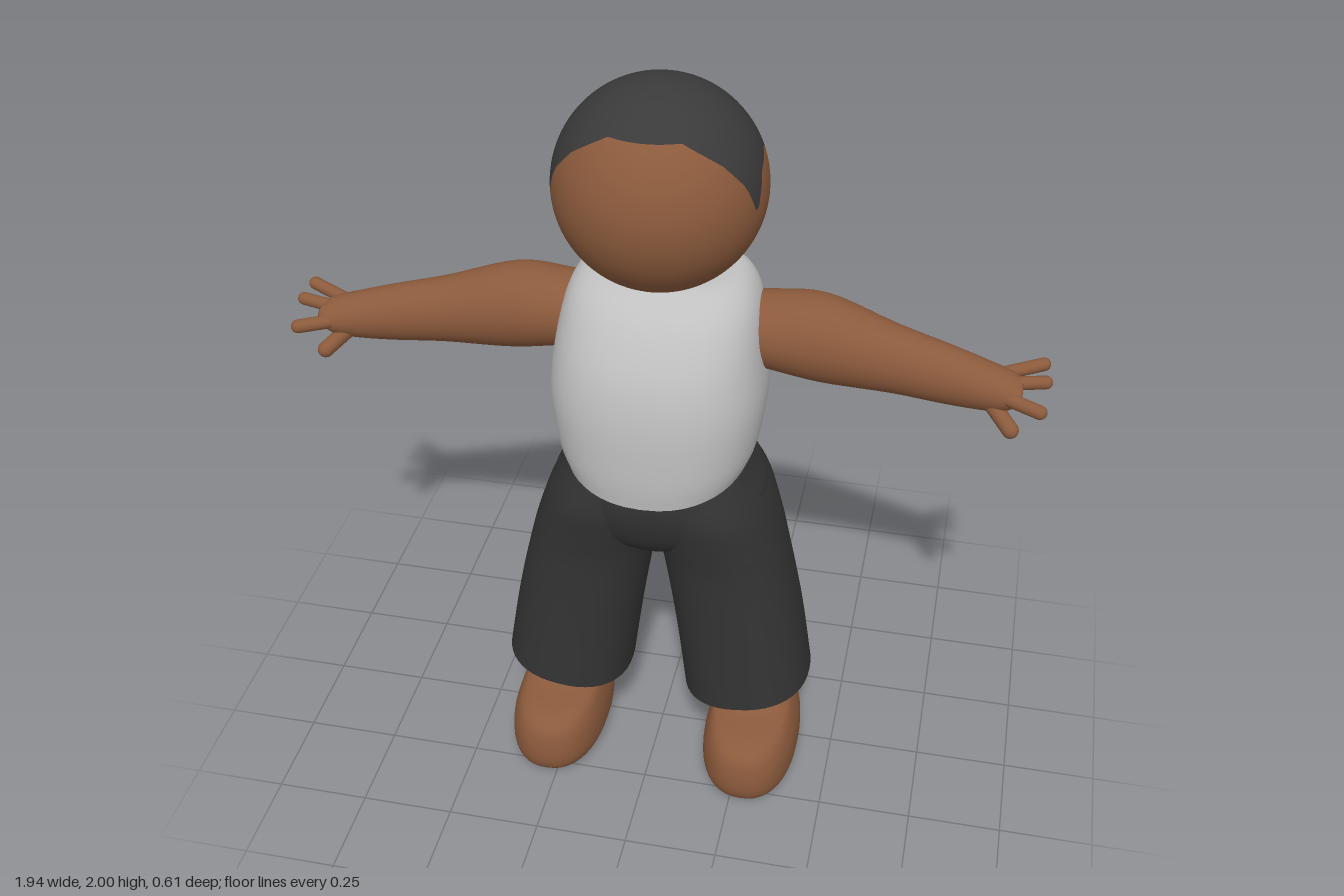
import * as THREE from 'three';

const mat = (name, color, side = THREE.FrontSide) => {
  const m = new THREE.MeshStandardMaterial({ color, side });
  m.name = name;
  return m;
};

// Catmull-Rom smoothing of equal-length rows of section numbers
function refine(rows, steps = 5) {
  const out = [];
  const at = i => rows[Math.max(0, Math.min(rows.length - 1, i))];
  for (let i = 0; i < rows.length - 1; i++) {
    for (let k = 0; k < steps; k++) {
      const t = k / steps;
      out.push(at(i).map((b, c) => {
        const a = at(i - 1)[c], d = at(i + 1)[c], e = at(i + 2)[c];
        return 0.5 * (2 * b + (d - a) * t + (2 * a - 5 * b + 4 * d - e) * t * t + (3 * b - a - 3 * d + e) * t ** 3);
      }));
    }
  }
  out.push(rows[rows.length - 1]);
  return out;
}

// Skin a list of closed rings of [x, y, z] points, with optional end caps
function loft(rings, capStart, capEnd) {
  const n = rings[0].length, pos = rings.flat(2), index = [];
  for (let i = 0; i < rings.length - 1; i++) {
    for (let j = 0; j < n; j++) {
      const a = i * n + j, b = i * n + (j + 1) % n;
      index.push(a, a + n, b, b, a + n, b + n);
    }
  }
  const cap = (r, flip) => {
    const c = pos.length / 3;
    for (let k = 0; k < 3; k++) pos.push(rings[r].reduce((s, p) => s + p[k], 0) / n);
    for (let j = 0; j < n; j++) {
      const a = r * n + j, b = r * n + (j + 1) % n;
      index.push(c, flip ? b : a, flip ? a : b);
    }
  };
  if (capStart) cap(0, false);
  if (capEnd) cap(rings.length - 1, true);
  const g = new THREE.BufferGeometry();
  g.setAttribute('position', new THREE.Float32BufferAttribute(pos, 3));
  g.setIndex(index);
  g.computeVertexNormals();
  return g;
}

// Superellipse outline as [u, v] in -1..1
function outline(power, n = 48) {
  const f = v => Math.sign(v) * Math.abs(v) ** (2 / power);
  return Array.from({ length: n }, (_, j) => {
    const a = (j / n) * Math.PI * 2;
    return [f(Math.cos(a)), f(Math.sin(a))];
  });
}

// Horizontal sections: [y, xMin, xMax, zBack, zFront, tilt, arch]
function stack(rows, power, capStart, capEnd) {
  const full = rows.map(([y, x0, x1, z0, z1, tilt = 0, arch = 0]) => [y, x0, x1, z0, z1, tilt, arch]);
  const rings = refine(full).map(([y, x0, x1, z0, z1, tilt, arch]) =>
    outline(power).map(([u, v]) => [
      (x0 + x1) / 2 + u * (x1 - x0) / 2,
      y + tilt * u + arch * u * u,
      (z0 + z1) / 2 + v * (z1 - z0) / 2,
    ]));
  return loft(rings, capStart, capEnd);
}

// Reflect a geometry across x = 0, keeping faces outward
function mirrored(g) {
  const m = g.clone().scale(-1, 1, 1), ix = m.index.array;
  for (let i = 0; i < ix.length; i += 3) [ix[i], ix[i + 1]] = [ix[i + 1], ix[i]];
  return m;
}

export function createModel() {
  const model = new THREE.Group();
  const skin = mat('brown skin', 0x8b5a3c);
  const hairMat = mat('dark hair', 0x3a3a3a);
  const shirtMat = mat('light grey shirt', 0xc0c0c0, THREE.DoubleSide);
  const trouserMat = mat('charcoal trousers', 0x333333, THREE.DoubleSide);

  const add = (name, geometry, material) => {
    const mesh = new THREE.Mesh(geometry, material);
    mesh.name = name;
    model.add(mesh);
  };
  const addPair = (name, geometry, material) => {
    add('left' + name, geometry, material);
    add('right' + name, mirrored(geometry), material);
  };

  // Head: one sphere split along the hairline, [azimuth from front, polar angle]
  const hairline = [
    [0, 0.78], [0.48, 0.78], [0.7, 0.92], [0.88, 1.05], [1.1, 1.31], [1.22, 1.58], [1.27, 1.58], [1.33, 1.44],
    [1.43, 1.28], [1.71, 1.18], [2.04, 1.28], [2.24, 1.63], [2.48, 2.1], [2.75, 2.34], [3.15, 2.42],
  ];
  const lineAt = az => {
    const a = Math.abs(az);
    const i = Math.max(1, hairline.findIndex(p => p[0] >= a));
    const [a0, t0] = hairline[i - 1], [a1, t1] = hairline[i];
    return t0 + (t1 - t0) * (a - a0) / (a1 - a0);
  };
  const headPart = isHair => {
    const R = 0.265, half = Math.PI / 2;
    const g = new THREE.SphereGeometry(R, 128, 32, 0, Math.PI * 2, isHair ? 0 : half, half);
    const p = g.attributes.position, nor = g.attributes.normal, uv = g.attributes.uv;
    for (let i = 0; i < p.count; i++) {
      const turn = uv.getX(i) * Math.PI * 2;
      const az = Math.atan2(Math.sin(turn), Math.cos(turn));
      const line = lineAt(az), t = 1 - uv.getY(i);
      const th = isHair ? line * t : line + (Math.PI - line) * t;
      const n = new THREE.Vector3(Math.sin(th) * Math.sin(az), Math.cos(th), Math.sin(th) * Math.cos(az));
      nor.setXYZ(i, n.x, n.y, n.z);
      p.setXYZ(i, n.x * R, n.y * R, n.z * R);
    }
    return g.translate(-0.015, 1.735, -0.035);
  };
  add('hair', headPart(true), hairMat);
  add('face', headPart(false), skin);

  // Sleeveless shirt with an arched hem
  add('shirt', stack([
    [0.965, -0.24, 0.235, -0.205, 0.262, 0, 0.045],
    [1.05, -0.262, 0.257, -0.226, 0.27, 0, 0.02],
    [1.2, -0.28, 0.272, -0.245, 0.268],
    [1.32, -0.27, 0.262, -0.247, 0.243],
    [1.42, -0.252, 0.248, -0.242, 0.19],
    [1.475, -0.23, 0.225, -0.228, 0.14],
    [1.505, -0.195, 0.19, -0.2, 0.09],
    [1.512, -0.15, 0.14, -0.17, 0.05],
  ], 2.4, false, true), shirtMat);

  // Trousers: hips and two flared legs with open, slanted hems
  add('trouserHips', stack([
    [0.73, -0.05, 0.05, -0.07, 0.11],
    [0.76, -0.13, 0.13, -0.12, 0.17],
    [0.82, -0.25, 0.25, -0.175, 0.22],
    [0.9, -0.285, 0.285, -0.208, 0.247],
    [0.97, -0.255, 0.25, -0.203, 0.25],
    [1.04, -0.22, 0.215, -0.19, 0.24],
  ], 2.3, true, true), trouserMat);
  addPair('TrouserLeg', stack([
    [0.277, 0.08, 0.428, -0.145, 0.218, 0.025],
    [0.5, 0.05, 0.393, -0.15, 0.212, 0.015],
    [0.7, 0.015, 0.352, -0.157, 0.213],
    [0.8, -0.01, 0.325, -0.178, 0.225],
    [0.9, -0.03, 0.288, -0.2, 0.24],
    [1.0, -0.06, 0.228, -0.18, 0.23],
  ], 2.3, false, true), trouserMat);

  // Bare feet with ankles
  addPair('Foot', stack([
    [0.002, 0.19, 0.375, -0.12, 0.265],
    [0.012, 0.163, 0.398, -0.142, 0.29],
    [0.05, 0.147, 0.41, -0.154, 0.304],
    [0.11, 0.148, 0.408, -0.154, 0.302],
    [0.155, 0.158, 0.396, -0.152, 0.285],
    [0.18, 0.166, 0.385, -0.15, 0.24],
    [0.195, 0.17, 0.378, -0.148, 0.15],
    [0.22, 0.173, 0.374, -0.145, 0.108],
    [0.27, 0.175, 0.372, -0.14, 0.1],
    [0.42, 0.18, 0.37, -0.13, 0.1],
  ], 2.4, true, true), skin);

  // Arms tapering into the palm: [x, yCentre, yHalf, zCentre, zHalf]
  const armRings = refine([
    [0.15, 1.35, 0.09, -0.05, 0.09],
    [0.26, 1.348, 0.1, -0.052, 0.103],
    [0.4, 1.338, 0.115, -0.053, 0.105],
    [0.58, 1.312, 0.09, -0.035, 0.08],
    [0.72, 1.297, 0.076, -0.012, 0.068],
    [0.82, 1.29, 0.06, 0.008, 0.063],
    [0.87, 1.292, 0.046, 0.02, 0.057],
    [0.9, 1.298, 0.025, 0.026, 0.04],
  ]).map(([x, y, hy, z, hz]) => outline(2).map(([u, v]) => [x, y + v * hy, z + u * hz]));
  addPair('Arm', loft(armRings, true, true), skin);

  // Four splayed digits: start point, tip point, radius
  const digits = [
    ['IndexFinger', [0.83, 1.295, 0.045], [0.945, 1.287, 0.095], 0.018],
    ['MiddleFinger', [0.83, 1.305, 0.02], [0.952, 1.325, 0.018], 0.017],
    ['LittleFinger', [0.83, 1.31, -0.012], [0.944, 1.337, -0.044], 0.017],
    ['Thumb', [0.82, 1.27, 0.035], [0.882, 1.217, 0.082], 0.021],
  ];
  for (const [name, from, to, r] of digits) {
    const a = new THREE.Vector3(...from), b = new THREE.Vector3(...to);
    const dir = b.clone().sub(a);
    const g = new THREE.CapsuleGeometry(r, dir.length(), 6, 14);
    g.applyQuaternion(new THREE.Quaternion().setFromUnitVectors(new THREE.Vector3(0, 1, 0), dir.clone().normalize()));
    g.translate(...a.add(b).multiplyScalar(0.5).toArray());
    addPair(name, g, skin);
  }
  return model;
}
